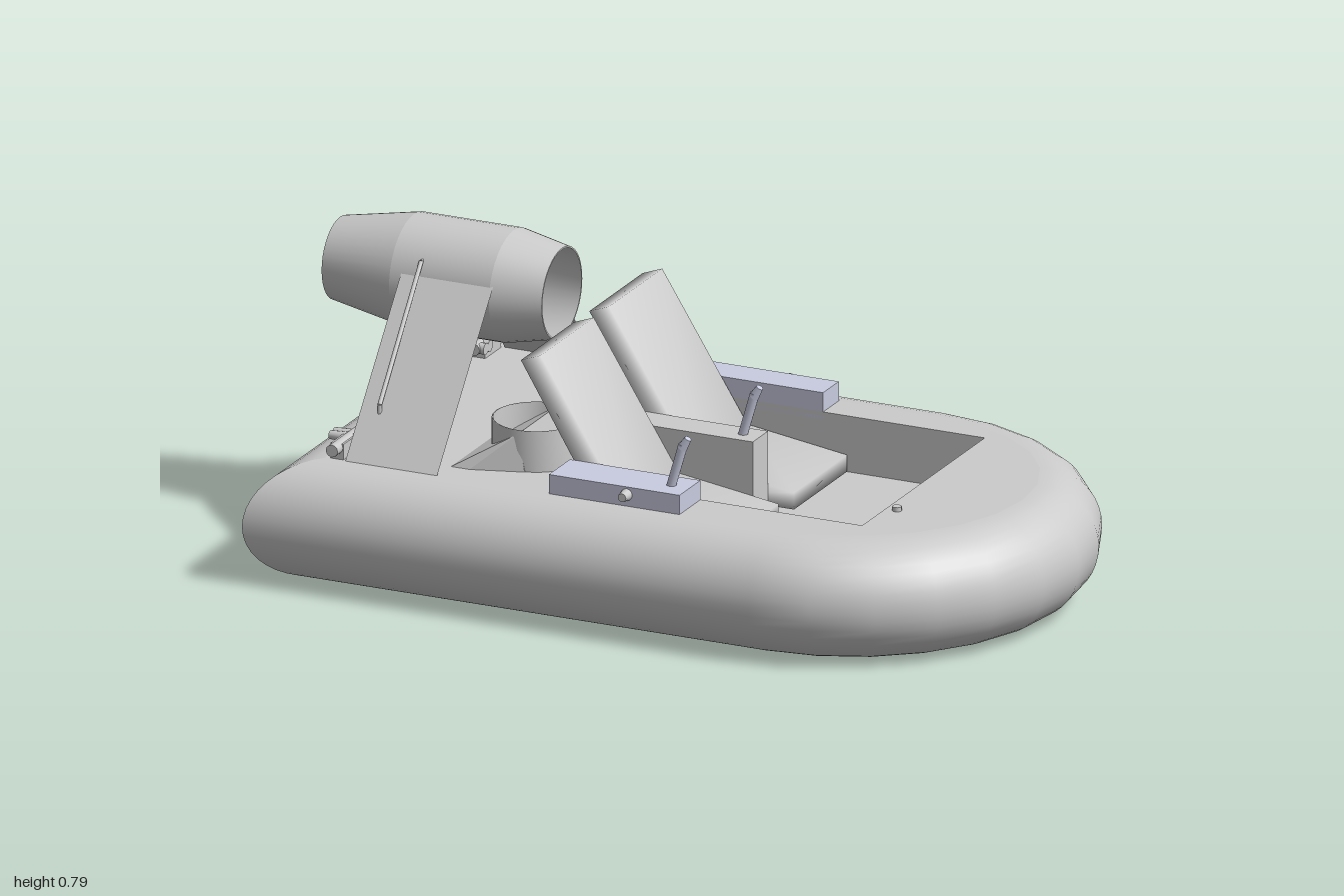
import * as THREE from 'three';
import { ConvexGeometry } from 'three/addons/geometries/ConvexGeometry.js';
import { mergeVertices } from 'three/addons/utils/BufferGeometryUtils.js';

const grey = new THREE.MeshStandardMaterial({ color: 0xcccccc, side: THREE.DoubleSide });
const blue = new THREE.MeshStandardMaterial({ color: 0xc9cce0 });

const DECK = 0.305, HALF = 0.455, STERN = -0.825, BOW = 0.39;
const WELL = { x0: -0.22, x1: 0.57, z0: -0.365, z1: 0.335, floor: 0.16 };

export function createModel() {
  const model = new THREE.Group();

  const add = (name, geometry, material = grey, x = 0, y = 0, z = 0) => {
    const mesh = new THREE.Mesh(geometry, material);
    mesh.name = name;
    mesh.position.set(x, y, z);
    model.add(mesh);
    return mesh;
  };
  // box given by its limits
  const box = (name, x0, x1, y0, y1, z0, z1, material = grey) =>
    add(name, new THREE.BoxGeometry(x1 - x0, y1 - y0, z1 - z0), material,
      (x0 + x1) / 2, (y0 + y1) / 2, (z0 + z1) / 2);
  // round bar between two points
  const rod = (name, a, b, r0, r1, material = grey, sides = 12) => {
    const from = new THREE.Vector3(...a), to = new THREE.Vector3(...b);
    const mesh = add(name, new THREE.CylinderGeometry(r1, r0, from.distanceTo(to), sides), material);
    mesh.position.copy(from).add(to).multiplyScalar(0.5);
    mesh.quaternion.setFromUnitVectors(new THREE.Vector3(0, 1, 0), to.sub(from).normalize());
  };
  // smooth surface through a grid of points
  const loft = (columns) => {
    const rows = columns[0].length, index = [];
    for (let i = 0; i < columns.length - 1; i++) {
      for (let j = 0; j < rows - 1; j++) {
        const a = i * rows + j, b = a + rows;
        index.push(a, b, b + 1, a, b + 1, a + 1);
      }
    }
    const g = new THREE.BufferGeometry();
    g.setAttribute('position', new THREE.Float32BufferAttribute(columns.flat(2), 3));
    g.setIndex(index);
    g.computeVertexNormals();
    return g;
  };

  // hull outline, pushed outwards by d, as [x, z] from port stern round the bow
  const outline = (d) => {
    const pts = [[STERN - d, HALF + d]];
    for (let i = 0; i <= 12; i++) {
      const a = (i / 12) * Math.PI;
      pts.push([BOW + Math.sin(a) * (HALF + d), Math.cos(a) * (HALF + d)]);
    }
    pts.push([STERN - d, -HALF - d]);
    return pts;
  };

  // inflated skirt: a half round section, open to the inside
  const rings = [];
  for (let j = 0; j <= 20; j++) {
    const t = (j / 20) * Math.PI, r = DECK / 2;
    rings.push(outline(r * Math.sin(t)).map(([x, z]) => [x, r * (1 - Math.cos(t)), z]));
  }
  const column = (i) => rings.map((ring) => ring[i]);
  const last = rings[0].length - 1;
  add('skirt', loft(rings[0].map((_, i) => column(i))));
  add('sternSkirt', loft([column(last), column(0)]));

  // deck with the cockpit opening
  const deck = new THREE.Shape(outline(0).map(([x, z]) => new THREE.Vector2(x, -z)));
  const { x0, x1, z0, z1, floor } = WELL;
  deck.holes.push(new THREE.Path([[x0, -z0], [x1, -z0], [x1, -z1], [x0, -z1]]
    .map(([x, y]) => new THREE.Vector2(x, y))));
  const deckGeo = new THREE.ExtrudeGeometry(deck, { depth: 0.01, bevelEnabled: false });
  add('deck', deckGeo.rotateX(-Math.PI / 2), grey, 0, DECK - 0.01, 0);

  // cockpit tub
  const top = DECK - 0.002, w = 0.006;
  box('cockpitFloor', x0, x1, floor - w, floor, z0, z1);
  box('cockpitFrontWall', x1, x1 + w, floor - w, top, z0, z1);
  box('cockpitRearWall', x0 - w, x0, floor - w, top, z0, z1);
  box('cockpitLeftWall', x0, x1, floor - w, top, z1, z1 + w);
  box('cockpitRightWall', x0, x1, floor - w, top, z0 - w, z0);

  // seats: side profiles drawn in x and y, softly shaded across their edges
  const slab = (points) => {
    const shape = new THREE.Shape(points.map(([x, y]) => new THREE.Vector2(x, y)));
    const g = new THREE.ExtrudeGeometry(shape, { depth: 0.304, bevelEnabled: false });
    g.deleteAttribute('normal');
    g.deleteAttribute('uv');
    const merged = mergeVertices(g.translate(0, 0, -0.152));
    merged.computeVertexNormals();
    return merged;
  };
  const back = [[-0.353, 0.592], [-0.18, 0.305], [-0.1, 0.165], [-0.02, 0.165], [-0.3, 0.612]];
  const cushion = [[-0.13, 0.162], [0.2, 0.162], [0.2, 0.205], [-0.08, 0.245]];
  for (const z of [-0.209, 0.182]) {
    add('seatBack', slab(back), grey, 0, 0, z);
    add('seatCushion', slab(cushion), grey, 0, 0, z);
  }

  // console between the seats and side control boxes
  box('console', x0, 0.13, floor, 0.355, -0.057, 0.03);
  box('leftControlBox', x0, 0.133, 0.285, 0.355, 0.335, HALF, blue);
  box('rightControlBox', x0, 0.133, 0.285, 0.355, -HALF, -0.365, blue);
  for (const z of [0.395, -0.014]) {
    rod('lever', [0.08, 0.345, z], [0.115, 0.465, z], 0.012, 0.012, blue);
    rod('leverGrip', [0.112, 0.455, z], [0.128, 0.482, z], 0.013, 0.009, blue);
  }
  for (const s of [-1, 1]) {
    rod('boxStud', [-0.01, 0.335, s * 0.44], [-0.01, 0.335, s * 0.482], 0.018, 0.011);
  }

  // lift fan ducts with their fairings behind the seats
  for (const z of [-0.235, 0.23]) {
    const duct = [[0.11, 0], [0.11, 0.105], [0.106, 0.105], [0.106, 0]]
      .map(([r, y]) => new THREE.Vector2(r, y));
    add('liftDuct', new THREE.LatheGeometry(duct, 28), grey, -0.36, DECK, z);
    const corners = [];
    for (const s of [-1, 1]) {
      corners.push(new THREE.Vector3(-0.52, DECK, s * 0.15), new THREE.Vector3(-0.47, DECK, s * 0.15),
        new THREE.Vector3(-0.34, DECK, s * 0.11), new THREE.Vector3(-0.36, 0.4, s * 0.105));
    }
    add('liftFairing', new ConvexGeometry(corners), grey, 0, 0, z);
  }

  // hollow thrust nacelle
  const shell = [[0.105, -1], [0.143, -0.8], [0.143, -0.53], [0.116, -0.4],
    [0.112, -0.4], [0.136, -0.53], [0.136, -0.8], [0.1, -1], [0.105, -1]];
  for (let i = 0; i < shell.length - 1; i++) {
    const band = [shell[i], shell[i + 1]].map(([r, x]) => new THREE.Vector2(r, x));
    add('nacelle', new THREE.LatheGeometry(band, 36).rotateZ(-Math.PI / 2), grey, 0, 0.651, 0);
  }

  // thin slanted pylons carrying the nacelle
  for (const s of [-1, 1]) {
    add('pylon', loft([-0.77, -0.522].map((x) => [[x, DECK, s * HALF], [x, 0.7, s * 0.128]])));
  }

  // feed pipe along the left pylon into the nacelle
  const pipe = [[0.3, 0.365], [0.43, 0.365], [0.725, 0.128], [0.725, 0], [0.59, 0]];
  for (let i = 0; i < pipe.length - 1; i++) {
    const r = i < 2 ? 0.006 : 0.004;
    rod('feedPipe', [-0.72, ...pipe[i]], [-0.72, ...pipe[i + 1]], r, r, grey, 8);
  }

  // stern fittings and bow stud
  for (const s of [-1, 1]) {
    rod('sternBar', [-0.795, 0.335, s * 0.33], [-0.795, 0.335, s * 0.48], 0.016, 0.016);
    for (const z of [0.348, 0.372]) {
      rod('sternNozzle', [-0.85, 0.335, s * z], [-0.77, 0.335, s * z], 0.011, 0.015);
    }
    box('sternBracket', -0.812, -0.778, DECK - 0.01, 0.345, s * 0.405 - 0.045, s * 0.405 + 0.045);
  }
  rod('bowStud', [0.6, 0.3, 0.2], [0.6, 0.316, 0.2], 0.012, 0.012);

  return model;
}
